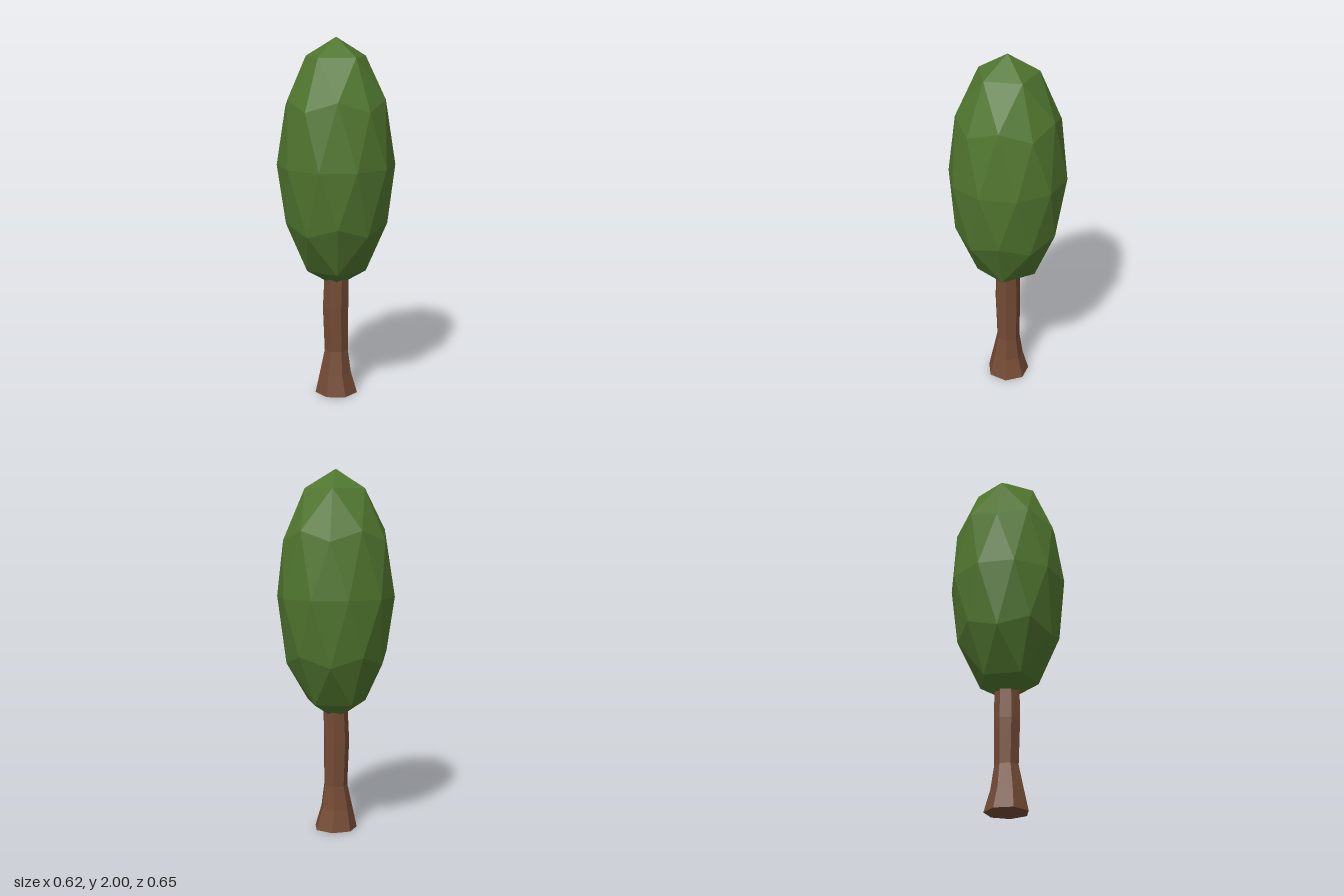
import * as THREE from 'three';

export function createModel() {
  const tree = new THREE.Group();
  tree.name = 'tree';
  const leafGreen = new THREE.MeshStandardMaterial({ name: 'leafGreen', color: 0x50762f, flatShading: true });
  const barkBrown = new THREE.MeshStandardMaterial({ name: 'barkBrown', color: 0x744b35, flatShading: true });

  // Crown: faceted icosphere with a vertex at the top, stretched upwards
  const crownGeometry = new THREE.IcosahedronGeometry(1, 1);
  crownGeometry.rotateZ(-Math.atan(2 / (1 + Math.sqrt(5))));
  crownGeometry.scale(0.325, 0.69, 0.325);
  const crown = new THREE.Mesh(crownGeometry, leafGreen);
  crown.name = 'crown';
  crown.position.y = 1.31;
  tree.add(crown);

  // Trunk: seven-sided column with a flared foot; rings are [y, radius, x shift, z shift]
  const rings = [
    [0, 0.121, -0.002, -0.003],
    [0.12, 0.09, -0.002, 0.003],
    [0.25, 0.067, -0.002, -0.003],
    [0.5, 0.073, -0.002, 0.002],
    [0.68, 0.07, 0.002, -0.002],
    [0.8, 0.06, 0, 0],
  ];
  const steps = rings.length - 1;
  const trunkGeometry = new THREE.CylinderGeometry(1, 1, 1, 7, steps, false, Math.PI);
  const p = trunkGeometry.attributes.position;
  for (let i = 0; i < p.count; i++) {
    const [y, r, dx, dz] = rings[Math.round((p.getY(i) + 0.5) * steps)];
    p.setXYZ(i, p.getX(i) * r + dx, y, p.getZ(i) * r + dz);
  }
  trunkGeometry.computeVertexNormals();
  const trunk = new THREE.Mesh(trunkGeometry, barkBrown);
  trunk.name = 'trunk';
  tree.add(trunk);

  return tree;
}
